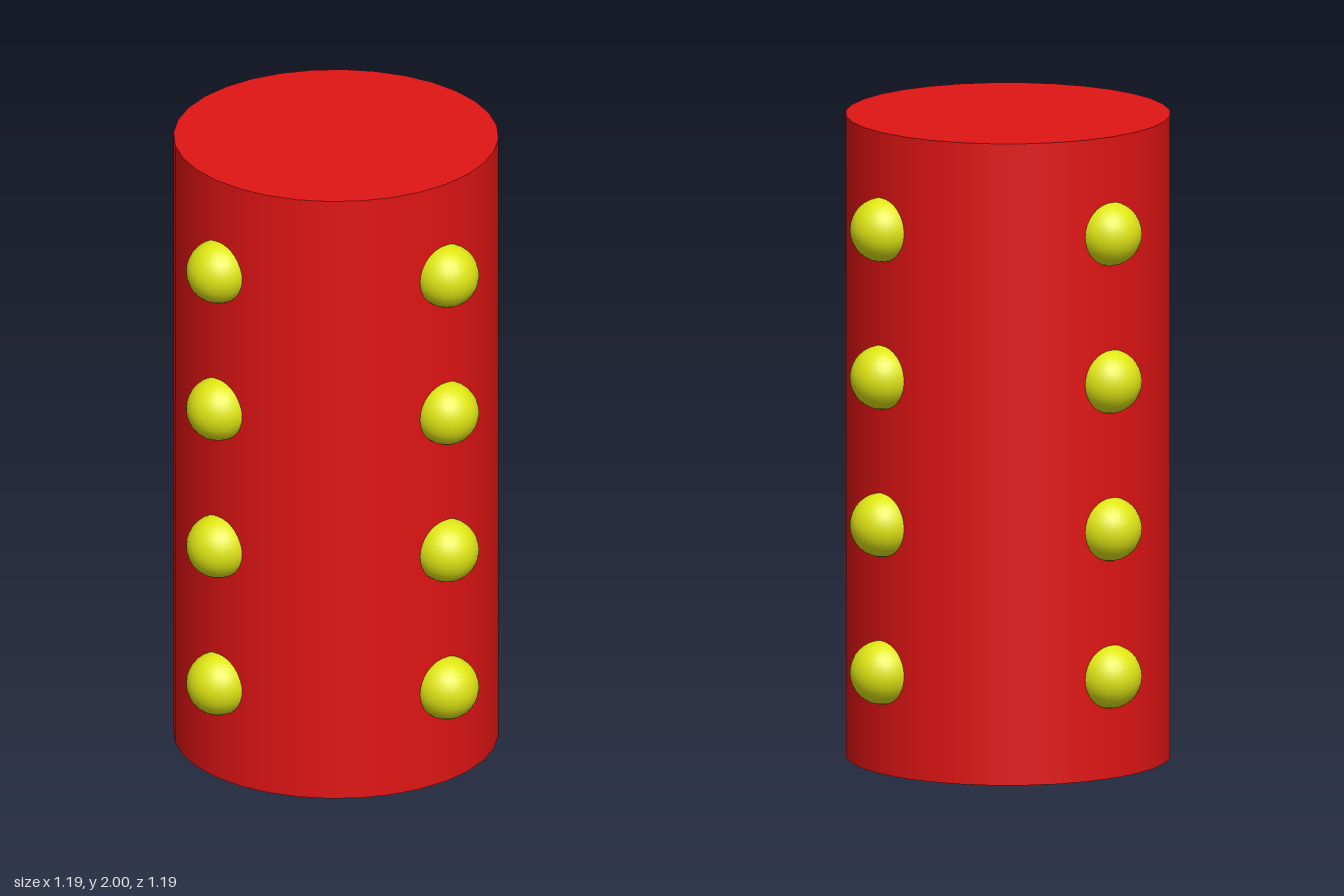
import * as THREE from 'three';

export function createModel() {
  const model = new THREE.Group();
  const red = new THREE.MeshStandardMaterial({ color: 0xe01414 });
  const yellow = new THREE.MeshStandardMaterial({ color: 0xdfe614 });

  // Upright column, set slightly back from the ring of studs
  const column = new THREE.Mesh(new THREE.CylinderGeometry(0.498, 0.498, 2, 32), red);
  column.name = 'column';
  column.position.set(0, 1, -0.008);
  model.add(column);

  // Four rows of round studs, one on each side
  const studs = new THREE.Group();
  studs.name = 'studs';
  const ball = new THREE.SphereGeometry(0.099, 32, 16);
  for (let row = 0; row < 4; row++) {
    for (let side = 0; side < 4; side++) {
      const angle = side * Math.PI / 2;
      const stud = new THREE.Mesh(ball, yellow);
      stud.name = 'stud';
      stud.position.set(0.495 * Math.sin(angle), 0.317 + 0.46 * row, 0.495 * Math.cos(angle));
      studs.add(stud);
    }
  }
  model.add(studs);
  return model;
}
